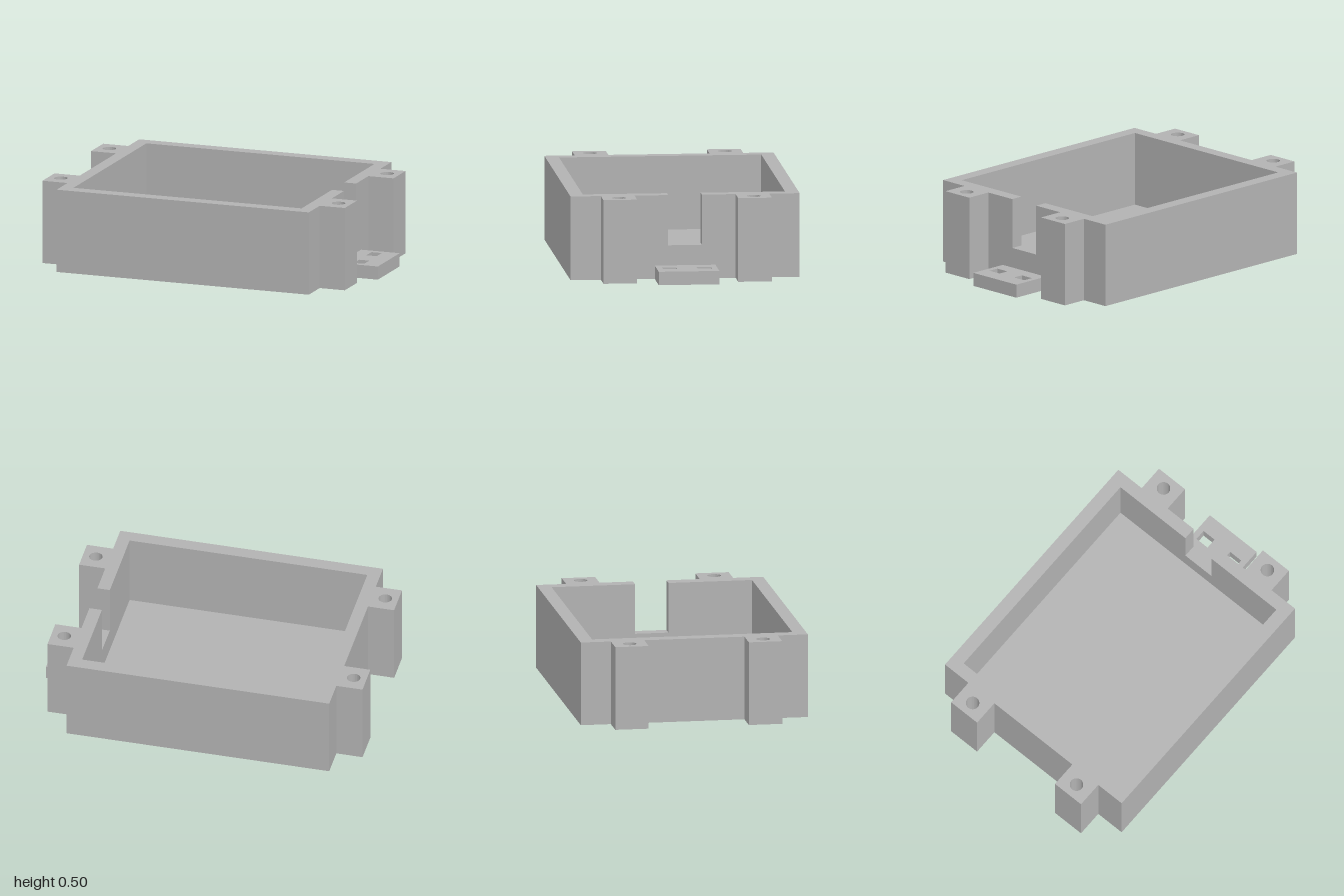
import * as THREE from 'three';

export function createModel() {
  const model = new THREE.Group();
  model.name = 'enclosure';
  const grey = new THREE.MeshStandardMaterial({ color: 0xb2b2b2 });
  grey.name = 'grey plastic';

  const CX = -0.043;                    // middle of the box along x
  const HEIGHT = 0.5, FLOOR = 0.06, SILL = 0.2, TAB = 0.08;
  const OUT_X = 0.798, OUT_Z = 0.68;    // outer half sizes
  const IN_X = 0.722, IN_Z = 0.6;       // cavity half sizes
  const LUG_X = 0.957, LUG_Z0 = 0.3, LUG_Z1 = 0.5;
  const HOLE_X = 0.879, HOLE_Z = 0.4, HOLE_R = 0.04;
  const NOTCH = 0.1;                    // half width of the wall notch

  function add(name, geometry, x = 0, y = 0, z = 0) {
    const mesh = new THREE.Mesh(geometry, grey);
    mesh.name = name;
    mesh.position.set(x, y, z);
    model.add(mesh);
    return mesh;
  }

  // Extrude a plan shape (x, -z) upwards from y = 0
  function extrudeUp(shape, height) {
    return new THREE.ExtrudeGeometry(shape, { depth: height, bevelEnabled: false, curveSegments: 12 })
      .rotateX(-Math.PI / 2);
  }

  function rectPath(x0, x1, z0, z1) {
    return new THREE.Path([[x0, z0], [x0, z1], [x1, z1], [x1, z0]].map(p => new THREE.Vector2(...p)));
  }

  // Walls with four corner lugs, open at the notch on the +x side
  const half = [
    [IN_X, NOTCH], [OUT_X, NOTCH],
    [OUT_X, LUG_Z0], [LUG_X, LUG_Z0], [LUG_X, LUG_Z1], [OUT_X, LUG_Z1],
    [OUT_X, OUT_Z], [-OUT_X, OUT_Z],
    [-OUT_X, LUG_Z1], [-LUG_X, LUG_Z1], [-LUG_X, LUG_Z0], [-OUT_X, LUG_Z0],
  ];
  const mirrored = half.map(([x, z]) => [x, -z]).reverse();
  const inner = [[IN_X, -IN_Z], [-IN_X, -IN_Z], [-IN_X, IN_Z], [IN_X, IN_Z]];
  const walls = new THREE.Shape([...half, ...mirrored, ...inner].map(([x, z]) => new THREE.Vector2(x, z)));
  for (const sx of [-1, 1]) {
    for (const sz of [-1, 1]) {
      const hole = new THREE.Path();
      hole.absarc(sx * HOLE_X, sz * HOLE_Z, HOLE_R, 0, Math.PI * 2, true);
      walls.holes.push(hole);
      // Closed bottom of each screw hole
      add('screwHoleBottom', new THREE.CylinderGeometry(HOLE_R, HOLE_R, FLOOR, 24),
        CX + sx * HOLE_X, FLOOR / 2, sz * HOLE_Z);
    }
  }
  add('walls', extrudeUp(walls, HEIGHT), CX);

  // Floor inside the walls
  add('floor', new THREE.BoxGeometry(IN_X * 2, FLOOR, IN_Z * 2), CX, FLOOR / 2, 0);

  // Wall below the notch
  add('notchSill', new THREE.BoxGeometry(OUT_X - IN_X, SILL, NOTCH * 2), CX + (OUT_X + IN_X) / 2, SILL / 2, 0);

  // Cable tie tab with two through slots
  const x0 = CX + OUT_X;
  const tab = new THREE.Shape([[x0, -0.18], [1, -0.18], [1, 0.18], [x0, 0.18]].map(p => new THREE.Vector2(...p)));
  tab.holes.push(rectPath(0.835, 0.9, 0.06, 0.145), rectPath(0.835, 0.9, -0.145, -0.06));
  add('cableTab', extrudeUp(tab, TAB));

  return model;
}
